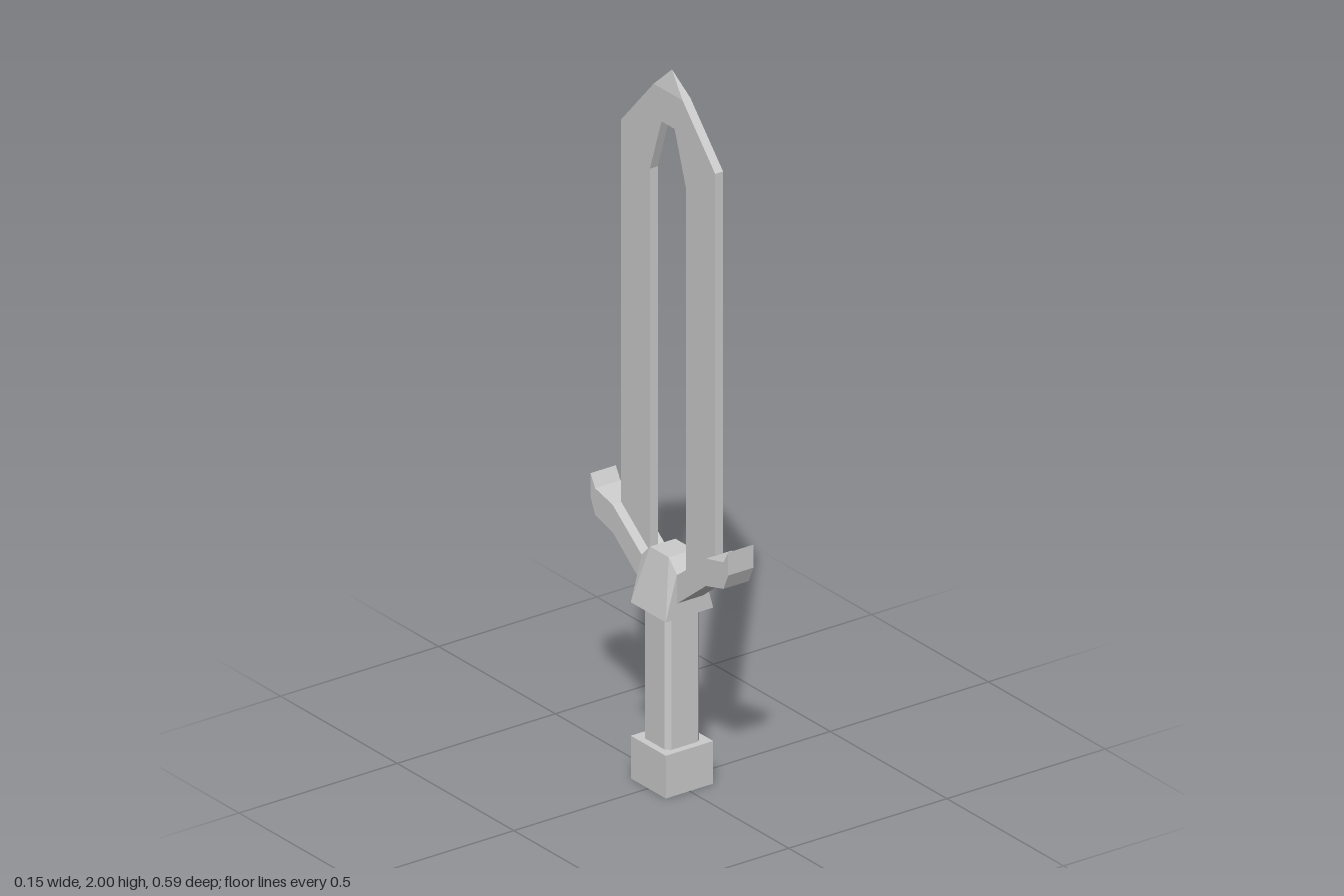
import * as THREE from 'three';

const material = new THREE.MeshStandardMaterial({ color: 0xcccccc, flatShading: true });

function part(name, geometry) {
  const mesh = new THREE.Mesh(geometry, material);
  mesh.name = name;
  return mesh;
}

// Extrudes an outline given as [z, y] points to a slab centred on x = 0
function slab(points, thickness) {
  const shape = new THREE.Shape(points.map(([z, y]) => new THREE.Vector2(z, y)));
  return new THREE.ExtrudeGeometry(shape, { depth: thickness, bevelEnabled: false })
    .translate(0, 0, -thickness / 2)
    .rotateY(-Math.PI / 2);
}

// Guard block: one quarter described as quads and mirrored over x and z
function guardBlock() {
  const A = [0.075, 0.495, 0.075], B = [0.04, 0.54, 0.075];
  const C = [0.04, 0.62, 0.075], D = [0.04, 0.655, 0.04];
  const midX = ([, y, z]) => [0, y, z];
  const midZ = ([x, y]) => [x, y, 0];
  const quads = [
    [midX(midZ(A)), midZ(A), A, midX(A)], // underside
    [midX(A), A, B, midX(B)], // lower face
    [midX(B), B, C, midX(C)], // wing socket
    [midX(C), C, D, midX(D)], // upper slope
    [midX(D), D, midZ(D), midX(midZ(D))], // top
    [A, midZ(A), midZ(D), D], // flank
    [A, D, C, B], // corner
  ];
  const positions = [];
  for (const sx of [1, -1]) for (const sz of [1, -1]) {
    for (const q of quads) {
      const order = sx * sz > 0 ? [0, 1, 2, 0, 2, 3] : [0, 2, 1, 0, 3, 2];
      for (const i of order) positions.push(q[i][0] * sx, q[i][1], q[i][2] * sz);
    }
  }
  const geometry = new THREE.BufferGeometry();
  geometry.setAttribute('position', new THREE.Float32BufferAttribute(positions, 3));
  geometry.computeVertexNormals();
  return geometry;
}

export function createModel() {
  const sword = new THREE.Group();
  sword.name = 'sword';

  // Pommel
  sword.add(part('pommel', new THREE.BoxGeometry(0.15, 0.12, 0.15).translate(0, 0.06, 0)));

  // Grip: square bar with chamfered corners
  const h = 0.055, c = 0.042;
  const section = [[h, -c], [h, c], [c, h], [-c, h], [-h, c], [-h, -c], [-c, -h], [c, -h]];
  const grip = new THREE.ExtrudeGeometry(
    new THREE.Shape(section.map(([x, y]) => new THREE.Vector2(x, y))),
    { depth: 0.385, bevelEnabled: false },
  ).rotateX(-Math.PI / 2).translate(0, 0.115, 0);
  sword.add(part('grip', grip));

  // Guard block and its two upswept wings
  sword.add(part('guardBlock', guardBlock()));
  const wing = [
    [0.07, 0.54], [0.078, 0.54], [0.2, 0.635], [0.275, 0.655], [0.295, 0.7],
    [0.295, 0.765], [0.275, 0.73], [0.2, 0.712], [0.078, 0.62], [0.07, 0.62],
  ];
  for (const [name, s] of [['frontWing', 1], ['backWing', -1]]) {
    sword.add(part(name, slab(wing.map(([z, y]) => [z * s, y]), 0.08)));
  }

  // Split blade: an arch with both legs set into the wings
  const half = [
    [0.062, 1.94], [0.202, 1.786], [0.202, 0.67], [0.078, 0.58], [0.078, 1.695], [0.028, 1.847],
  ];
  const outline = [...half, ...half.map(([z, y]) => [-z, y]).reverse()];
  sword.add(part('blade', slab(outline, 0.025)));

  // Point of the blade: a flattened pyramid
  const point = new THREE.ConeGeometry(Math.SQRT2, 0.06, 4, 1, true)
    .rotateY(Math.PI / 4)
    .scale(0.0125, 1, 0.062)
    .translate(0, 1.97, 0);
  sword.add(part('bladePoint', point));

  return sword;
}
